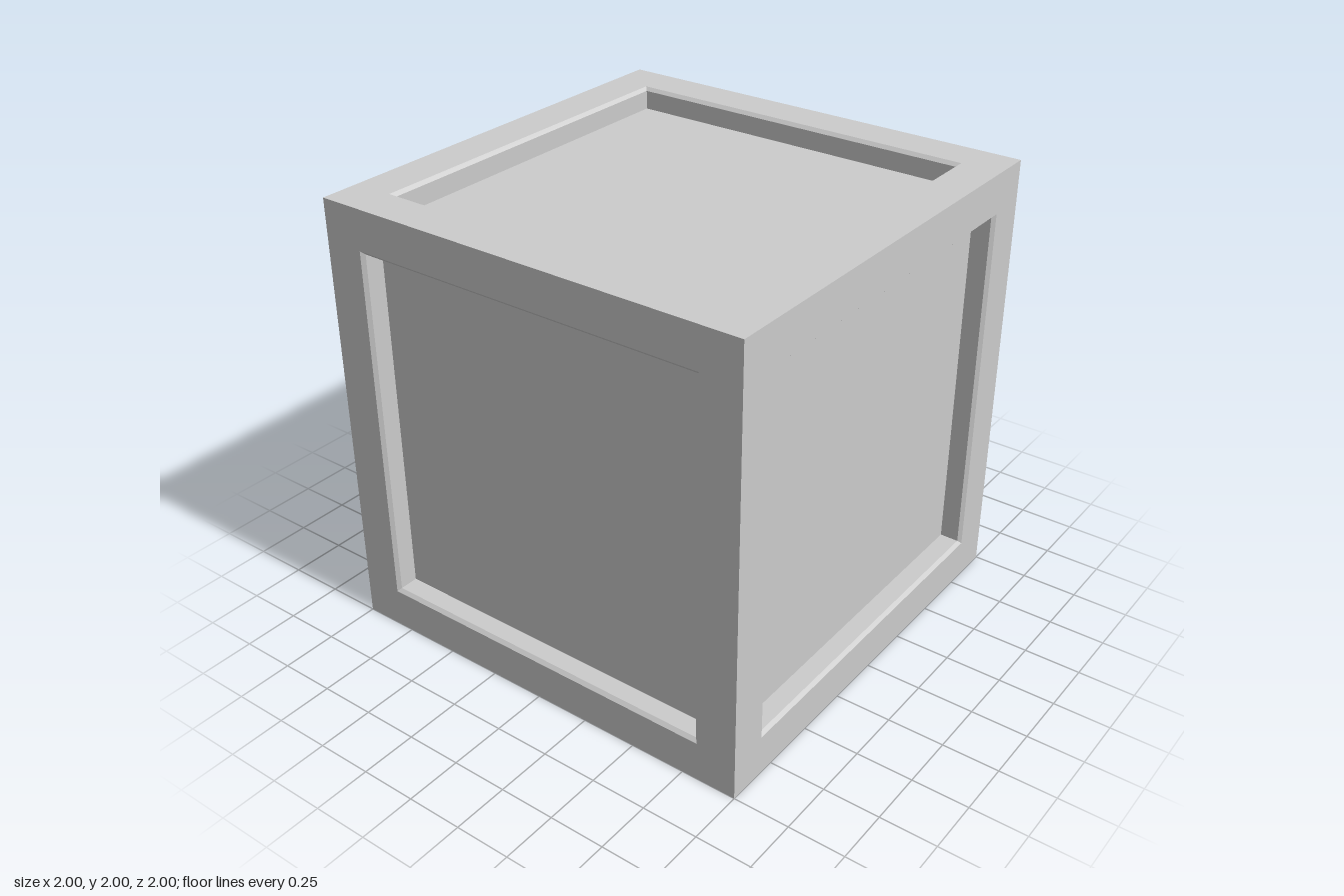
import * as THREE from 'three';

const material = new THREE.MeshStandardMaterial({ color: 0xcccccc, flatShading: true });

// Square rings running from the outer edge to the centre of an upward face.
// Each profile point is [half width, height above the cube's centre].
function squareFace(name, profile) {
  const points = profile.map(([half, h]) => new THREE.Vector2(half * Math.SQRT2, h));
  const lathe = new THREE.LatheGeometry(points, 4, Math.PI / 4);
  const geometry = lathe.toNonIndexed();
  geometry.computeVertexNormals();
  const mesh = new THREE.Mesh(geometry, material);
  mesh.name = name;
  return mesh;
}

export function createModel() {
  const crate = new THREE.Group();
  crate.name = 'crate';

  // Direction each side faces, as a turn of an upward face
  const q = Math.PI / 2;
  const sides = [
    ['top', 0, 0],
    ['front', q, 0],
    ['back', -q, 0],
    ['left', 0, -q],
    ['right', 0, q],
  ];

  for (const [name, rx, rz] of sides) {
    const side = new THREE.Group();
    side.name = name + 'Side';
    side.add(
      squareFace(name + 'Frame', [[1, 1], [0.82, 1]]),
      squareFace(name + 'Chamfer', [[0.82, 1], [0.805, 0.985]]),
      squareFace(name + 'RecessWall', [[0.805, 0.985], [0.805, 0.9]]),
      squareFace(name + 'Panel', [[0.805, 0.9], [0, 0.9]]),
    );
    side.rotation.set(rx, 0, rz);
    side.position.y = 1;
    crate.add(side);
  }

  // Plain underside
  const base = squareFace('base', [[1, 1], [0, 1]]);
  base.rotation.x = Math.PI;
  base.position.y = 1;
  crate.add(base);

  return crate;
}
